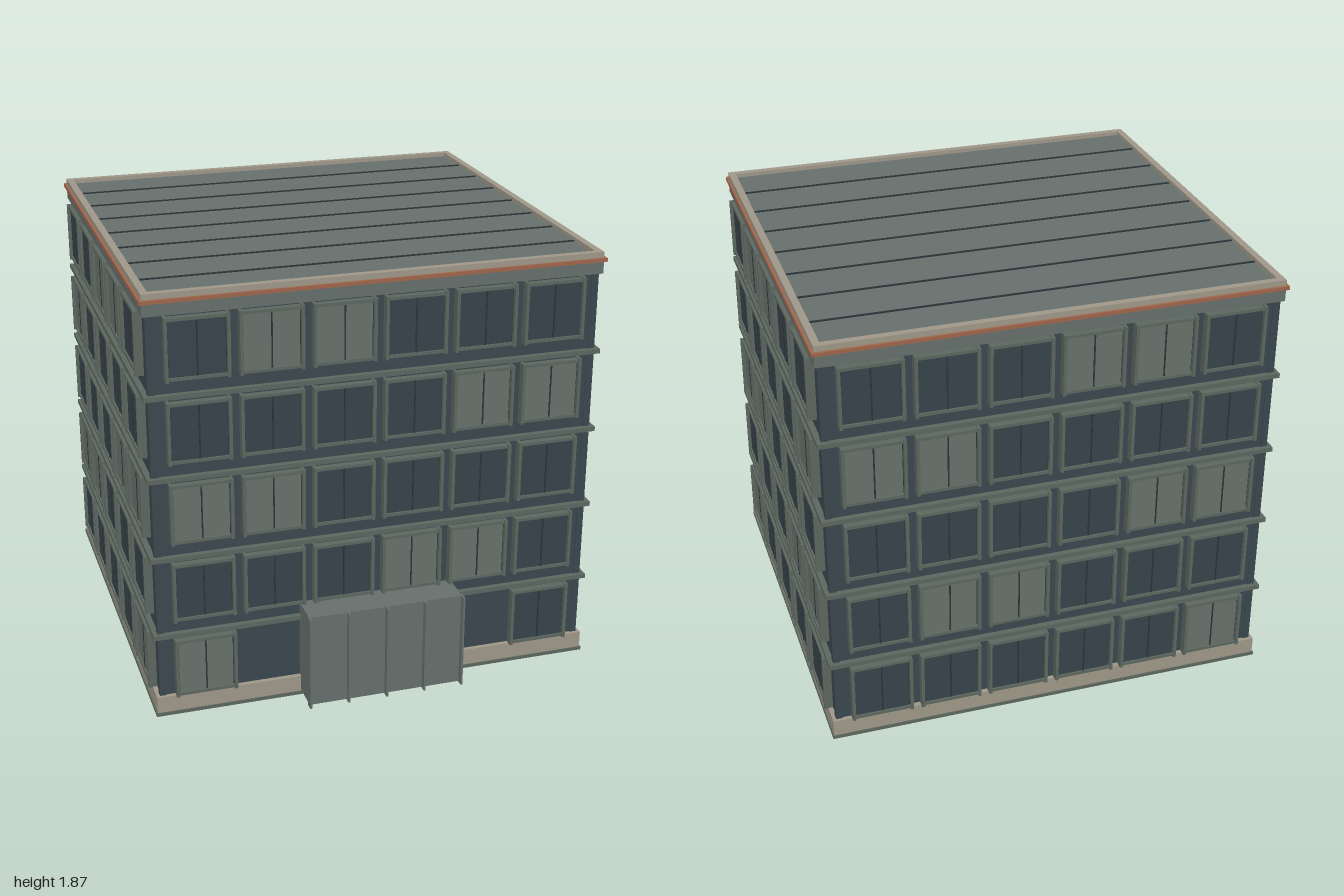
import * as THREE from 'three';

const mat = (name, color) => {
  const m = new THREE.MeshStandardMaterial({ color });
  m.name = name;
  return m;
};

export function createModel() {
  const wall = mat('slate wall', 0x3b484f);
  const glass = mat('dark glass', 0x37444b);
  const pale = mat('pale glass', 0x68716b);
  const metal = mat('grey green metal', 0x66706c);
  const trim = mat('olive trim', 0x5c675f);
  const dark = mat('dark frame', 0x2a3438);
  const stone = mat('beige stone', 0xa0998a);
  const copper = mat('copper', 0xa0664c);

  const model = new THREE.Group();
  model.name = 'officeBlock';
  const block = new THREE.Group();
  block.name = 'building';
  block.position.z = -0.07;
  model.add(block);

  const HX = 0.95, HZ = 0.893; // half width and half depth of the walls

  function box(parent, name, m, w, h, d, x, y, z) {
    const mesh = new THREE.Mesh(new THREE.BoxGeometry(w, h, d), m);
    mesh.name = name;
    mesh.position.set(x, y, z);
    parent.add(mesh);
    return mesh;
  }
  // Full-footprint slab that overhangs the walls by o
  const slab = (name, m, o, y0, y1) =>
    box(block, name, m, 2 * (HX + o), y1 - y0, 2 * (HZ + o), 0, (y0 + y1) / 2, 0);

  // Rectangular ring overhanging the walls by o, with bars of width t
  function ring(name, m, o, t, y0, y1) {
    const rect = (P, x, z) => new P([
      new THREE.Vector2(-x, -z), new THREE.Vector2(x, -z),
      new THREE.Vector2(x, z), new THREE.Vector2(-x, z)]);
    const s = rect(THREE.Shape, HX + o, HZ + o);
    s.holes.push(rect(THREE.Path, HX + o - t, HZ + o - t));
    const g = new THREE.ExtrudeGeometry(s, { depth: y1 - y0, bevelEnabled: false });
    g.rotateX(-Math.PI / 2);
    const mesh = new THREE.Mesh(g, m);
    mesh.name = name;
    mesh.position.y = y0;
    block.add(mesh);
  }

  // Walls, base and floor bands
  slab('walls', wall, 0, 0.01, 1.8);
  slab('groundSlab', trim, 0.025, 0, 0.015);
  slab('plinth', stone, 0.02, 0.015, 0.088);
  for (let i = 0; i < 4; i++) {
    const y = 0.375 + 0.355 * i;
    slab('floorBand', trim, 0.024, y - 0.01, y + 0.01);
  }
  for (const sx of [-1, 1]) for (const sz of [-1, 1])
    box(block, 'cornerPost', wall, 0.03, 1.7, 0.03, sx * (HX - 0.01), 0.93, sz * (HZ - 0.01));

  // Fascia, copper line, parapet and seamed roof
  slab('fascia', metal, 0.018, 1.78, 1.835);
  ring('copperLine', copper, 0.029, 0.04, 1.833, 1.849);
  ring('parapet', stone, 0.018, 0.03, 1.835, 1.873);
  box(block, 'roofDeck', metal, 1.89, 0.02, 1.776, 0, 1.845, 0);
  for (let i = -3; i <= 3; i++)
    box(block, 'roofSeam', dark, 1.876, 0.006, 0.008, 0, 1.857, i * 0.226);

  // One window, standing proud of the wall along local +z
  function windowUnit(w, lit) {
    const g = new THREE.Group(), h = 0.268, t = 0.013, d = 0.037;
    g.name = lit ? 'paleWindow' : 'darkWindow';
    box(g, 'backing', dark, w - 0.01, h - 0.01, 0.018, 0, 0, 0.009);
    box(g, 'pane', lit ? pale : glass, w - 2 * t - 0.008, h - 2 * t - 0.008, 0.006, 0, 0, 0.02);
    box(g, 'mullion', dark, 0.006, h - 2 * t, 0.01, 0, 0, 0.021);
    for (const s of [-1, 1]) {
      box(g, 'jamb', trim, t, h, d, s * (w - t) / 2, 0, d / 2);
      box(g, 'rail', trim, w - 2 * t, t, d - 0.006, 0, s * (h / 2 - t / 2 - 0.004), (d - 0.006) / 2);
    }
    return g;
  }

  // Window grids; index runs along +x on front and back, from front to back on the sides
  function facade(name, angle, offset, count, pitch, w, flip, skip) {
    const f = new THREE.Group();
    f.name = name;
    f.rotation.y = angle;
    for (let r = 0; r < 5; r++) for (let c = 0; c < count; c++) {
      if (skip && r === 0 && c > 0 && c < count - 1) continue;
      const lit = (((c - 6 - 4 * r) % 7) + 7) % 7 < 2;
      const u = windowUnit(w, lit);
      u.position.set((flip ? -1 : 1) * (c - (count - 1) / 2) * pitch, 0.22 + 0.355 * r, offset);
      f.add(u);
    }
    block.add(f);
  }
  facade('frontWindows', 0, HZ, 6, 0.302, 0.265, false, true);
  facade('backWindows', Math.PI, HZ, 6, 0.302, 0.265, true, false);
  facade('leftWindows', Math.PI / 2, HX, 5, 0.336, 0.29, false, false);
  facade('rightWindows', -Math.PI / 2, HX, 5, 0.336, 0.29, true, false);

  // Entrance box with upright fins
  const entrance = new THREE.Group();
  entrance.name = 'entrance';
  model.add(entrance);
  box(entrance, 'entranceBox', metal, 0.68, 0.42, 0.17, 0, 0.23, 0.888);
  for (let i = -2; i <= 2; i++)
    box(entrance, 'entranceFin', metal, 0.009, 0.424, 0.04, i * 0.17, 0.229, 0.98);

  return model;
}
